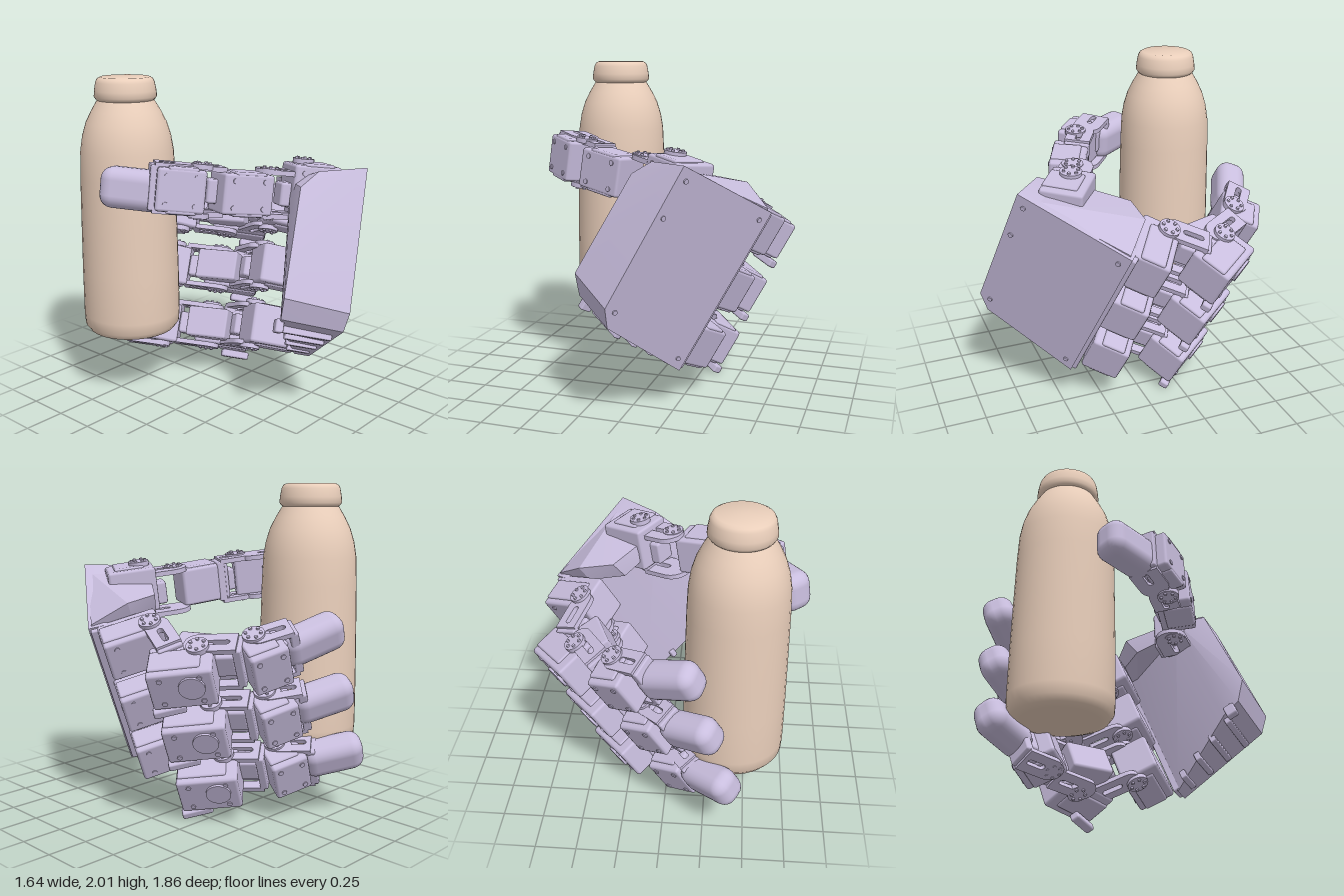
import * as THREE from 'three';
import { RoundedBoxGeometry } from 'three/addons/geometries/RoundedBoxGeometry.js';
import { ConvexGeometry } from 'three/addons/geometries/ConvexGeometry.js';
import { toCreasedNormals } from 'three/addons/utils/BufferGeometryUtils.js';

const shell = new THREE.MeshStandardMaterial({ color: 0xc9bede });
const tan = new THREE.MeshStandardMaterial({ color: 0xeacfbb });

function add(parent, name, geometry, pos = [0, 0, 0], rotY = 0, material = shell) {
  const mesh = new THREE.Mesh(geometry, material);
  mesh.name = name;
  mesh.position.set(...pos);
  mesh.rotation.y = rotY;
  parent.add(mesh);
  return mesh;
}

function group(parent, name, pos = [0, 0, 0], rotY = 0) {
  const g = new THREE.Group();
  g.name = name;
  g.position.set(...pos);
  g.rotation.y = rotY;
  parent.add(g);
  return g;
}

// Motor block: body, waist flange, round hinge discs, and screws on the +x or +z face
function motor(parent, name, pos, [sx, sy, sz], rotY, hinge, face) {
  const g = group(parent, name, pos, rotY);
  add(g, 'motorBody', new RoundedBoxGeometry(sx, sy * 0.92, sz, 1, 0.018));
  add(g, 'motorFlange', new RoundedBoxGeometry(sx * 0.62, sy, sz * 0.8, 1, 0.012), [0.03 * sx, 0, 0.08 * sz]);
  for (const s of [-1, 1]) {
    add(g, 'hingeDisc', new THREE.CylinderGeometry(0.065, 0.065, 0.03, 20), [hinge[0], s * (sy / 2 + 0.005), hinge[1]]);
    for (let i = 0; i < 6; i++) {
      const a = i * Math.PI / 3;
      add(g, 'discScrew', new THREE.CylinderGeometry(0.01, 0.01, 0.012, 8),
        [hinge[0] + 0.043 * Math.cos(a), s * (sy / 2 + 0.024), hinge[1] + 0.043 * Math.sin(a)]);
    }
    for (const t of [-1, 1]) {
      const screw = new THREE.CylinderGeometry(0.016, 0.016, 0.012, 8);
      if (face === 'x') add(g, 'faceScrew', screw.rotateZ(Math.PI / 2), [sx / 2, s * sy * 0.3, t * sz * 0.3]);
      else add(g, 'faceScrew', screw.rotateX(Math.PI / 2), [t * sx * 0.3, s * sy * 0.3, sz / 2]);
    }
  }
  return g;
}

// U-shaped bracket: two slotted round-ended plates joined by a web, running from a to b in the xz plane
function bracket(parent, a, b, y, half, r = 0.075) {
  const dx = b[0] - a[0], dz = b[1] - a[1], len = Math.hypot(dx, dz);
  const shape = new THREE.Shape();
  shape.absarc(0, 0, r, Math.PI / 2, Math.PI * 1.5, false);
  shape.lineTo(len, -r);
  shape.lineTo(len, r);
  shape.closePath();
  const slot = new THREE.Path();
  slot.absarc(len * 0.3, 0, 0.018, Math.PI / 2, Math.PI * 1.5, false);
  slot.absarc(len * 0.75, 0, 0.018, -Math.PI / 2, Math.PI / 2, false);
  slot.closePath();
  shape.holes.push(slot);
  const g = group(parent, 'bracket', [a[0], y, a[1]], -Math.atan2(dz, dx));
  const plate = new THREE.ExtrudeGeometry(shape, { depth: 0.03, bevelEnabled: false, curveSegments: 8 });
  plate.rotateX(Math.PI / 2).translate(0, 0.015, 0);
  for (const s of [-1, 1]) add(g, 'bracketPlate', plate, [0, s * half, 0]);
  add(g, 'bracketWeb', new RoundedBoxGeometry(0.05, half * 2, r * 2, 1, 0.01), [len, 0, 0]);
  add(g, 'bracketCore', new RoundedBoxGeometry(len * 0.6, half * 1.1, r * 1.3, 1, 0.015), [len * 0.6, 0, 0]);
}

// Blunt padded fingertip, a heavily rounded block running from a to b in the xz plane
function fingertip(parent, a, b, y, height, thickness) {
  const dx = b[0] - a[0], dz = b[1] - a[1];
  const pad = new RoundedBoxGeometry(Math.hypot(dx, dz), height, thickness, 3, 0.075);
  add(parent, 'fingertip', pad, [(a[0] + b[0]) / 2, y, (a[1] + b[1]) / 2], -Math.atan2(dz, dx));
}

function buildPalm(hand) {
  const palm = group(hand, 'palm');
  const hull = pts => toCreasedNormals(new ConvexGeometry(pts.map(p => new THREE.Vector3(...p))), 0.3);
  // Wedge-shaped housing, thick at the wrist side and thin at the finger edge
  add(palm, 'palmHousing', hull([
    [-0.36, 0.5, 0], [0.36, 0.49, 0], [0.36, -0.59, 0], [-0.27, -0.48, 0], [-0.35, -0.38, 0],
    [-0.35, 0.42, -0.29], [-0.36, 0.3, -0.39], [-0.18, 0.38, -0.41], [0.36, 0.49, -0.1], [0.36, -0.59, -0.1],
    [-0.15, -0.48, -0.35], [-0.27, -0.47, -0.38], [-0.36, -0.36, -0.4]]));
  // Raised upper cover
  add(palm, 'topCover', hull([
    [-0.3, 0.48, -0.02], [0.34, 0.5, -0.02], [0.31, 0.57, -0.26], [0.18, 0.5, -0.42], [-0.2, 0.4, -0.4],
    [-0.3, 0.3, -0.02], [0.34, 0.42, -0.02], [0.3, 0.45, -0.26], [0.15, 0.36, -0.4], [-0.2, 0.3, -0.4]]));
  add(palm, 'fingerRail', new RoundedBoxGeometry(0.05, 1.06, 0.1, 1, 0.01), [0.36, -0.05, -0.06]);
  // Ribs across the open lower end
  for (let i = 0; i < 4; i++) {
    const x = -0.15 + i * 0.14;
    add(palm, 'endRib', new RoundedBoxGeometry(0.04, 0.06, 0.3 - i * 0.05, 1, 0.008), [x, -0.5 - i * 0.018, -0.18 + i * 0.025]);
  }
  add(palm, 'endTab', new RoundedBoxGeometry(0.07, 0.08, 0.05, 1, 0.01), [-0.2, -0.5, -0.37]);
  for (const [x, y] of [[-0.31, 0.2], [0.3, 0.42], [0.3, -0.52], [-0.28, -0.38], [-0.3, 0.43]])
    add(palm, 'palmScrew', new THREE.CylinderGeometry(0.015, 0.015, 0.016, 8).rotateX(Math.PI / 2), [x, y, 0]);
}

// Finger bent at a right angle; spread opens the tip outwards
function buildFinger(hand, x, y, spread) {
  const f = group(hand, 'finger', [x, y, 0]);
  motor(f, 'fingerBaseMotor', [0.43, 0, -0.24], [0.24, 0.28, 0.36], 0.15, [0.04, -0.12], 'x');
  bracket(f, [0.49, -0.4], [0.69, -0.45], 0, 0.125);
  const middle = motor(f, 'fingerMiddleMotor', [0.8, -0.02, -0.49], [0.26, 0.27, 0.37], -0.2, [-0.07, -0.1], 'x');
  add(middle, 'outerDisc', new THREE.CylinderGeometry(0.075, 0.075, 0.02, 20).rotateZ(Math.PI / 2), [0.135, 0.02, -0.06]);
  add(f, 'innerHousing', new RoundedBoxGeometry(0.14, 0.2, 0.28, 1, 0.015), [0.64, -0.02, -0.62], -0.5);
  add(f, 'cablePort', new RoundedBoxGeometry(0.06, 0.05, 0.19, 1, 0.012), [0.87, -0.18, -0.37]);
  bracket(f, [0.71, -0.6], [0.78, -0.82], -0.03, 0.13);
  motor(f, 'fingerOuterMotor', [0.79, -0.05, -0.95], [0.26, 0.28, 0.23], 0.2, [-0.06, 0.02], 'x');
  bracket(f, [0.74, -0.95], [0.72 + spread * 0.4, -1.13], -0.06, 0.14);
  fingertip(f, [0.73 + spread * 0.4, -1.06], [0.62 + spread, -1.43], -0.07 + spread * 0.2, 0.22, 0.19);
}

function buildThumb(root) {
  const t = group(root, 'thumb', [0, 1.33, 0]);
  t.rotation.z = -0.15;
  motor(t, 'thumbBaseMotor', [0.25, 0.05, 0.44], [0.3, 0.3, 0.26], -0.6, [-0.06, 0], 'z');
  bracket(t, [0.02, 0.31], [0.16, 0.4], 0, 0.13, 0.1);
  motor(t, 'thumbMiddleMotor', [-0.21, 0, 0.28], [0.32, 0.26, 0.22], -0.42, [0.2, -0.04], 'z');
  bracket(t, [-0.42, 0.13], [-0.3, 0.2], 0, 0.13, 0.08);
  motor(t, 'thumbOuterMotor', [-0.54, 0, 0.1], [0.28, 0.27, 0.2], -0.72, [0.12, -0.02], 'z');
  bracket(t, [-0.5, 0.06], [-0.62, -0.04], 0, 0.13, 0.09);
  fingertip(t, [-0.57, 0.01], [-0.77, -0.3], -0.03, 0.24, 0.2);
}

// Bottle with rounded base, tapered shoulder and lipped cap
function buildBottle(root) {
  const bottle = group(root, 'bottle', [-0.415, 0, -0.46]);
  const profile = [[0, 0.4], [0.23, 0.4], [0.275, 0.415], [0.3, 0.45], [0.305, 0.52], [0.303, 0.8], [0.298, 1.1], [0.292, 1.4],
    [0.285, 1.56], [0.27, 1.65], [0.245, 1.73], [0.21, 1.8], [0.18, 1.85], [0.172, 1.863], [0.18, 1.87],
    [0.19, 1.885], [0.187, 1.92], [0.178, 1.97], [0.168, 1.99], [0.15, 2], [0, 2]];
  const geo = new THREE.LatheGeometry(profile.map(p => new THREE.Vector2(...p)), 40);
  add(bottle, 'bottleBody', toCreasedNormals(geo, 0.75), [0, 0, 0], 0, tan);
}

export function createModel() {
  const root = new THREE.Group();
  root.name = 'robotHandWithBottle';
  // Hand frame: x towards the fingers, y across the knuckles, z out of the back of the hand
  const hand = group(root, 'hand');
  const u = new THREE.Vector3(0.53, -0.44, -0.73).normalize();
  const out = u.clone().cross(new THREE.Vector3(0.445, 0.875, -0.19)).normalize();
  const across = out.clone().cross(u);
  hand.quaternion.setFromRotationMatrix(new THREE.Matrix4().makeBasis(u, across, out));
  hand.position.set(0.35, 0.89, 0.6);
  buildPalm(hand);
  for (let i = 0; i < 3; i++) buildFinger(hand, i * 0.03, 0.36 - i * 0.395, i * 0.095);
  buildThumb(root);
  buildBottle(root);
  return root;
}
